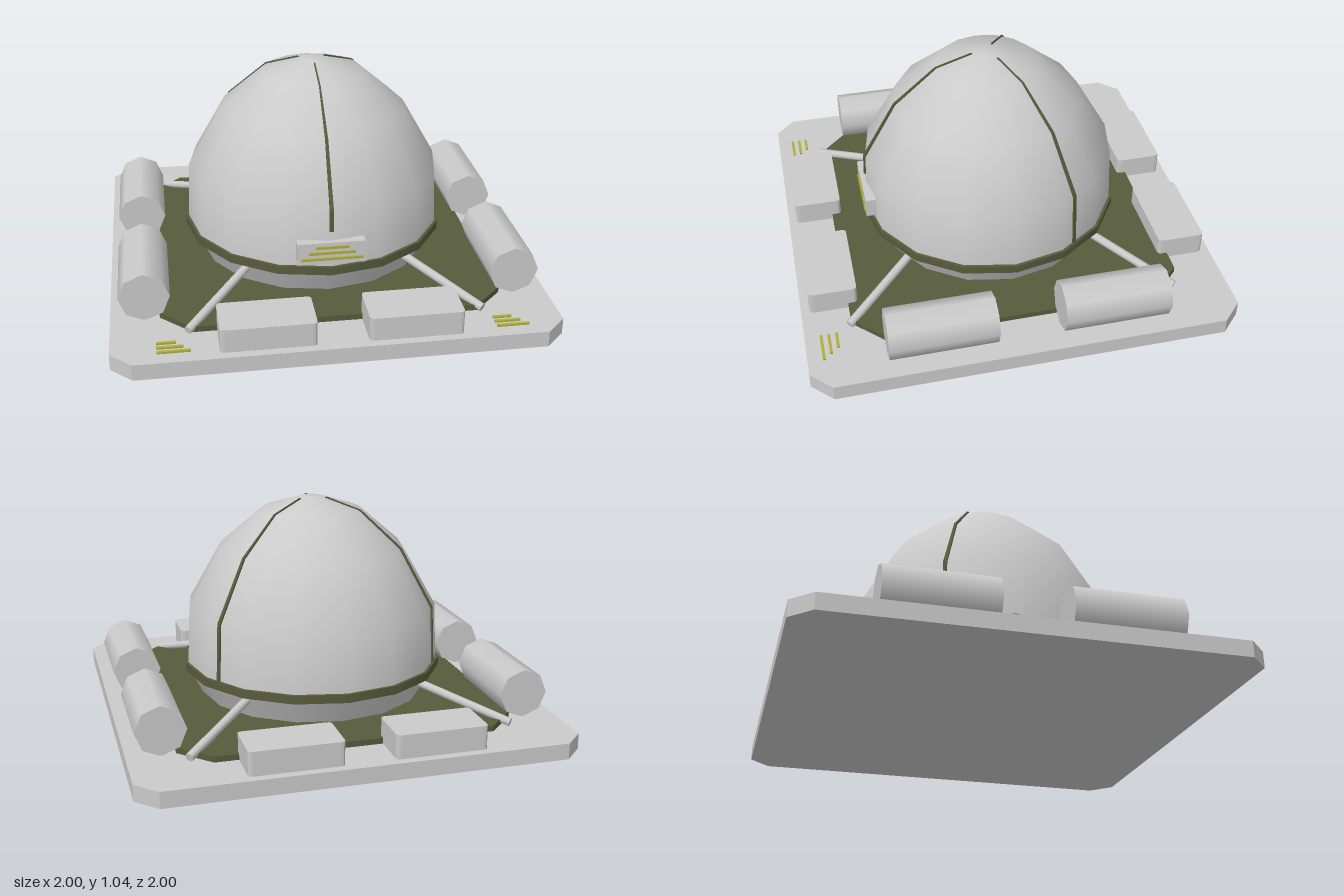
import * as THREE from 'three';

const mat = (name, color) => {
  const m = new THREE.MeshStandardMaterial({ color });
  m.name = name;
  return m;
};
const grey = mat('lightGrey', 0xcacaca);
const olive = mat('olive', 0x575b3c);
const yellow = mat('mustard', 0xb0ad3c);

export function createModel() {
  const model = new THREE.Group();
  model.name = 'domeStation';

  const add = (name, geometry, material, x = 0, y = 0, z = 0) => {
    const mesh = new THREE.Mesh(geometry, material);
    mesh.name = name;
    mesh.position.set(x, y, z);
    model.add(mesh);
    return mesh;
  };
  const box = (name, w, h, d, material, x, y, z) =>
    add(name, new THREE.BoxGeometry(w, h, d), material, x, y, z);

  // Rectangle with cut corners, or rounded ones when round is true
  const plate = (w, d, c, round) => {
    const s = new THREE.Shape(), x = w / 2, y = d / 2;
    const corner = (cx, cy, ex, ey) => round ? s.quadraticCurveTo(cx, cy, ex, ey) : s.lineTo(ex, ey);
    s.moveTo(-x + c, -y);
    s.lineTo(x - c, -y); corner(x, -y, x, -y + c);
    s.lineTo(x, y - c); corner(x, y, x - c, y);
    s.lineTo(-x + c, y); corner(-x, y, -x, y - c);
    s.lineTo(-x, -y + c); corner(-x, -y, -x + c, -y);
    return s;
  };
  const slab = (w, d, c, h, round = false) =>
    new THREE.ExtrudeGeometry(plate(w, d, c, round), { depth: h, bevelEnabled: false, curveSegments: 3 });
  const flat = (w, d, c, h, round) => slab(w, d, c, h, round).rotateX(-Math.PI / 2);

  // Ground slab and pad
  add('baseSlab', flat(2, 2, 0.095, 0.075), grey);
  add('pad', flat(1.56, 1.56, 0.14, 0.027), olive, 0, 0.075, 0);

  // Dome, its underside and the ring around it
  const profile = [[0.615, 0.24], [0.602, 0.53], [0.443, 0.81], [0.24, 0.985], [0.05, 1.045], [0, 1.045]];
  const lathe = (pts) => new THREE.LatheGeometry(pts.map(([r, y]) => new THREE.Vector2(r, y)), 16);
  add('dome', lathe(profile), grey);
  add('domeUnderside', lathe([[0.54, 0.09], [0.615, 0.24]]), grey);
  add('domeRing', new THREE.CylinderGeometry(0.628, 0.628, 0.04, 16), olive, 0, 0.24, 0);

  // Seams follow the dome profile and narrow towards the top
  const seam = (angle, start) => {
    const path = [start, ...profile.slice(1, 4), [0.07, 1.04]];
    const facet = Math.PI / 8;
    const off = ((angle % facet) + facet) % facet - facet / 2;
    const k = Math.cos(facet / 2) / Math.cos(off);
    const s = new THREE.Shape();
    path.forEach(([r, y], i) => s[i ? 'lineTo' : 'moveTo'](r * k + 0.007, y + 0.004));
    [...path].reverse().forEach(([r, y]) => s.lineTo(r * k - 0.02, y - 0.012));
    const g = new THREE.ExtrudeGeometry(s, { depth: 0.018, bevelEnabled: false });
    g.translate(0, 0, -0.009);
    const p = g.attributes.position;
    for (let i = 0; i < p.count; i++) p.setZ(i, p.getZ(i) * Math.max(0.3, p.getX(i) / 0.6));
    g.computeVertexNormals();
    add('domeSeam', g, olive).rotation.y = angle - Math.PI / 2;
  };
  seam(0, [0.607, 0.43]);
  seam(Math.PI * 2 / 3, [0.615, 0.24]);
  seam(-Math.PI * 2 / 3, [0.615, 0.24]);

  // Sign panel on the front of the dome
  add('signPanel', slab(0.315, 0.105, 0.01, 0.05, true), grey, 0, 0.335, 0.58);
  [[0.15, 0.365], [0.21, 0.338], [0.28, 0.309]].forEach(([w, y]) =>
    box('signStripe', w, 0.012, 0.008, yellow, 0, y, 0.632));

  for (const sx of [1, -1]) {
    for (const sz of [1, -1]) {
      // Storage crates along front and back
      add('crate', flat(0.42, 0.225, 0.02, 0.11, true), grey, sx * 0.323, 0.075, sz * 0.848);

      // Octagonal tanks along the sides
      const tank = new THREE.CylinderGeometry(0.115, 0.115, 0.495, 8).rotateX(Math.PI / 2);
      add('tank', tank, grey, sx * 0.845, 0.187, sz * 0.4);

      // Struts from the dome down to the pad corners
      const front = sz > 0;
      const a = front ? new THREE.Vector3(sx * 0.37, 0.2, 0.455) : new THREE.Vector3(sx * 0.42, 0.2, -0.42);
      const b = front ? new THREE.Vector3(sx * 0.66, 0.092, 0.79) : new THREE.Vector3(sx * 0.74, 0.092, -0.74);
      const dir = b.clone().sub(a);
      const strut = add('strut', new THREE.CylinderGeometry(0.02, 0.02, dir.length(), 8), grey);
      strut.position.copy(a).add(b).multiplyScalar(0.5);
      strut.quaternion.setFromUnitVectors(new THREE.Vector3(0, 1, 0), dir.normalize());
    }

    // Marking bars on the front corners of the slab
    const left = sx > 0 ? 0.69 : -0.8;
    [[0.085, 0.855], [0.115, 0.89], [0.145, 0.925]].forEach(([w, z]) =>
      box('markingBar', w, 0.009, 0.013, yellow, left + w / 2, 0.0795, z));
  }
  return model;
}
